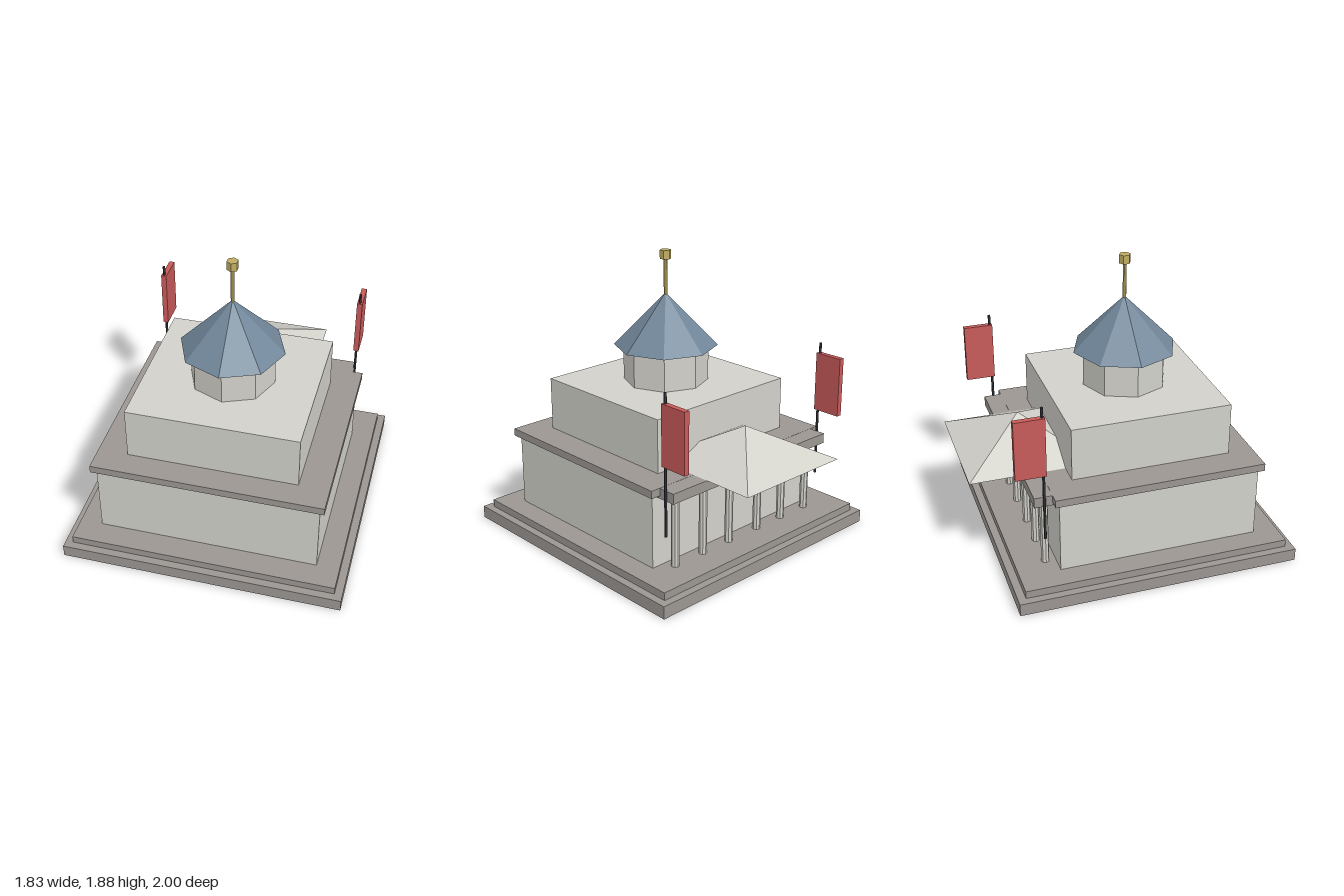
import * as THREE from 'three';

const material = (color) => new THREE.MeshStandardMaterial({ color, flatShading: true });

export function createModel() {
  const model = new THREE.Group();
  model.name = 'pavilion';

  const stone = material(0x9b9692);
  const wall = material(0xd2d1ca);
  const slate = material(0x71879a);
  const gold = material(0xc0ad62);
  const iron = material(0x3a3c42);
  const red = material(0xc85a5a);

  const add = (name, geometry, mat, x, y, z) => {
    const mesh = new THREE.Mesh(geometry, mat);
    mesh.name = name;
    mesh.position.set(x, y, z);
    model.add(mesh);
    return mesh;
  };
  // Box from a half width about x = 0 and its y and z limits
  const block = (name, mat, halfX, y0, y1, z0, z1) =>
    add(name, new THREE.BoxGeometry(2 * halfX, y1 - y0, z1 - z0), mat, 0, (y0 + y1) / 2, (z0 + z1) / 2);
  // Upright prism or cone between two heights
  const post = (name, mat, rTop, rBottom, sides, x, y0, y1, z) =>
    add(name, new THREE.CylinderGeometry(rTop, rBottom, y1 - y0, sides), mat, x, (y0 + y1) / 2, z);

  // Stepped plinth and stacked storeys
  block('lowerStep', stone, 0.915, 0, 0.083, -0.83, 1);
  block('upperStep', stone, 0.865, 0.083, 0.133, -0.78, 0.95);
  block('mainHall', wall, 0.718, 0.133, 0.615, -0.518, 0.79);
  block('cornice', stone, 0.75, 0.615, 0.665, -0.55, 0.82);
  block('upperStorey', wall, 0.554, 0.665, 1.015, -0.39, 0.655);

  // Octagonal drum, pointed roof and finial
  const domeZ = 0.132;
  post('drum', wall, 0.278, 0.278, 8, 0, 1.015, 1.25, domeZ);
  add('drumRoof', new THREE.ConeGeometry(0.34, 0.35, 8), slate, 0, 1.425, domeZ);
  post('finialRod', gold, 0.012, 0.012, 6, 0, 1.57, 1.83, domeZ);
  post('finialKnob', gold, 0.037, 0.037, 6, 0, 1.82, 1.877, domeZ);

  // Rear porch: slab on columns with a pyramid roof
  block('porchSlab', stone, 0.685, 0.597, 0.664, -0.665, -0.5);
  const porchRoof = add('porchRoof', new THREE.ConeGeometry(0.411 * Math.SQRT2, 0.22, 4), wall, 0, 0.775, -0.589);
  porchRoof.rotation.y = Math.PI / 4;

  for (const side of [-1, 1]) {
    for (const x of [0.13, 0.36, 0.595]) {
      post('porchColumn', wall, 0.026, 0.026, 8, side * x, 0.133, 0.6, -0.585);
    }
    // Banner on a pole at each rear corner
    post('bannerPole', iron, 0.009, 0.009, 6, side * 0.687, 0.365, 1.277, -0.602);
    add('banner', new THREE.BoxGeometry(0.036, 0.39, 0.193), red, side * 0.687, 1.015, -0.683);
  }

  return model;
}
